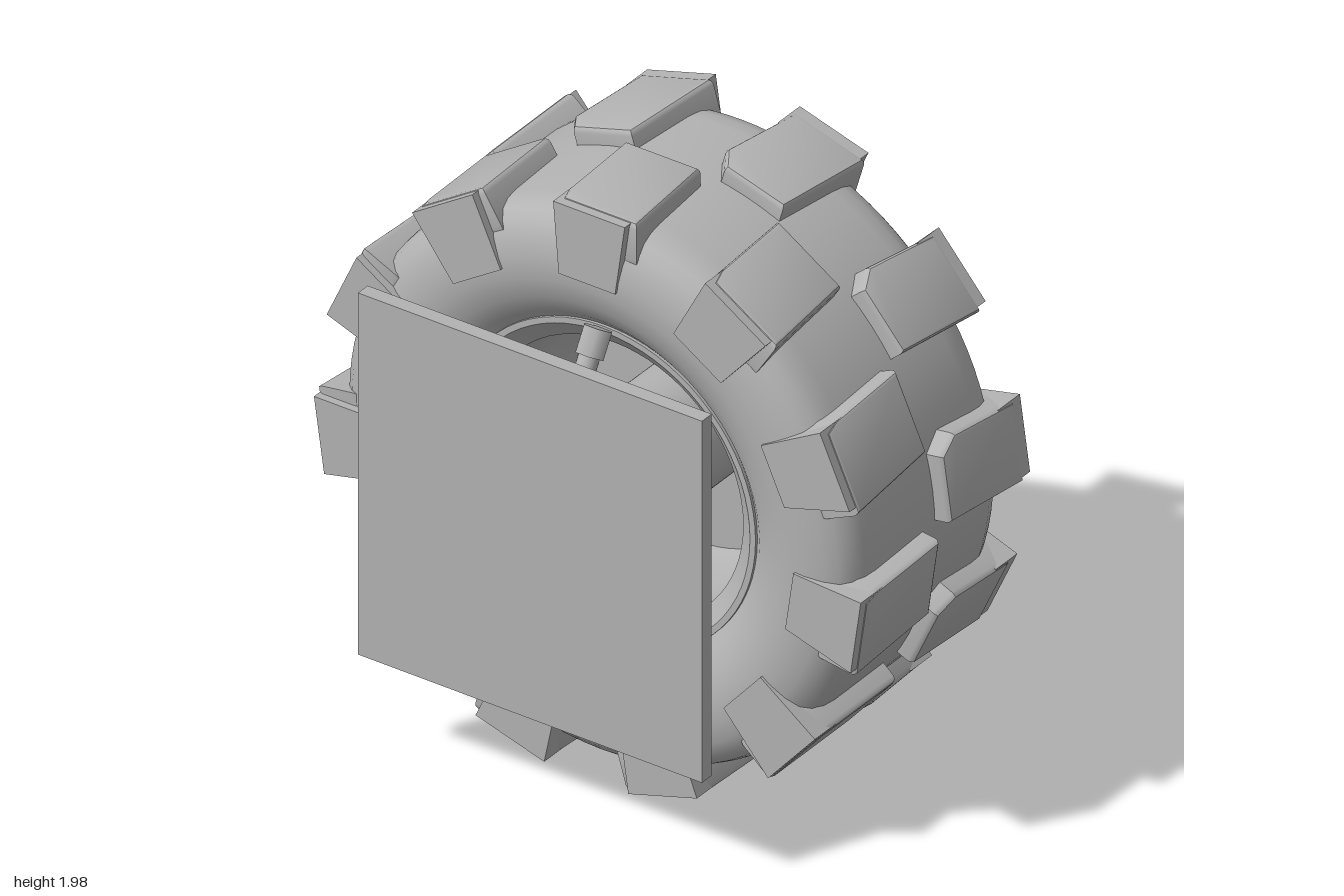
import * as THREE from 'three';
import { toCreasedNormals } from 'three/addons/utils/BufferGeometryUtils.js';

const CY = 0.99;      // axle height
const LUGS = 11;      // lugs per row
const STEP = (Math.PI * 2) / LUGS;

export function createModel() {
  const model = new THREE.Group();
  const grey = new THREE.MeshStandardMaterial({ color: 0xb3b3b3, side: THREE.DoubleSide });
  grey.name = 'plain grey';

  const wheel = new THREE.Group();
  wheel.name = 'wheel';
  wheel.position.y = CY;
  model.add(wheel);

  const add = (name, geo, parent = wheel) => {
    const mesh = new THREE.Mesh(geo, grey);
    mesh.name = name;
    parent.add(mesh);
    return mesh;
  };

  // Turned part about the x axis; profile points are [radius, x]
  const turned = (name, pts, crease = 0.5, seg = 72) => {
    const geo = new THREE.LatheGeometry(pts.map(([r, x]) => new THREE.Vector2(r, x)), seg);
    geo.rotateZ(-Math.PI / 2);
    return add(name, toCreasedNormals(geo, crease));
  };

  // Cylinder or prism along the x axis
  const axial = (name, r, x0, x1, seg = 32, y = 0, z = 0) => {
    const geo = new THREE.CylinderGeometry(r, r, x1 - x0, seg);
    geo.rotateZ(-Math.PI / 2);
    const mesh = add(name, toCreasedNormals(geo, 0.6));
    mesh.position.set((x0 + x1) / 2, y, z);
    return mesh;
  };

  const boltCircle = (name, count, radius, r, x0, x1, offset = 0) => {
    for (let i = 0; i < count; i++) {
      const a = ((i + offset) / count) * Math.PI * 2;
      axial(name, r, x0, x1, 6, Math.cos(a) * radius, Math.sin(a) * radius);
    }
  };

  const polygon = (pts) => new THREE.Shape(pts.map(([x, y]) => new THREE.Vector2(x, y)));

  // Tyre carcass: half profile mirrored about the wheel's middle plane
  const half = [[0.5, 0.3], [0.54, 0.325], [0.58, 0.365], [0.64, 0.4], [0.71, 0.42],
    [0.78, 0.421], [0.84, 0.41], [0.885, 0.39], [0.915, 0.36], [0.93, 0.32], [0.935, 0.27]];
  const mid = 0.145;
  turned('tyre', [
    ...half.map(([r, x]) => [r, mid - x]),
    ...half.slice().reverse().map(([r, x]) => [r, mid + x]),
  ], 0.9, 96);

  // Tread lugs, in two staggered rows, each with a shoulder block on the sidewall
  const rows = [
    { outline: [[0.19, -0.1], [0.53, -0.135], [0.53, 0.105], [0.25, 0.14], [0.19, 0.1]],
      shift: 0, faceX: 0.58 },
    { outline: [[-0.245, -0.145], [0.1, -0.115], [0.1, 0.13], [-0.2, 0.115], [-0.245, 0.1]],
      shift: 0.5, faceX: -0.175 },
  ];
  const shoulder = polygon([[0.74, -0.1], [0.985, -0.135], [0.985, 0.125], [0.74, 0.105]]);
  for (const { outline, shift, faceX } of rows) {
    const lugGeo = toCreasedNormals(new THREE.ExtrudeGeometry(polygon(outline), {
      depth: 0.11, bevelThickness: 0.02, bevelSize: 0.014, bevelSegments: 3,
    }), 0.5);
    lugGeo.translate(0, 0, 0.86);
    const blockGeo = new THREE.ExtrudeGeometry(shoulder, { depth: 0.11, bevelEnabled: false });
    blockGeo.rotateY(-Math.PI / 2);
    blockGeo.translate(faceX, 0, 0);
    for (let i = 0; i < LUGS; i++) {
      const a = -Math.PI / 2 + (i + shift) * STEP;
      add('treadLug', lugGeo).rotation.x = -a;
      add('shoulderBlock', blockGeo).rotation.x = -a;
    }
  }

  // Rim barrel with dished centre
  turned('rim', [
    [0.2, 0.28], [0.44, 0.28], [0.47, 0.2], [0.47, -0.15], [0.53, -0.2], [0.55, -0.2],
    [0.55, -0.17], [0.5, -0.12], [0.5, 0.46], [0.52, 0.485], [0.51, 0.5], [0.44, 0.5],
    [0.44, 0.515], [0.385, 0.515], [0.375, 0.5], [0.315, 0.33], [0.2, 0.33],
  ]);

  // Scalloped bead ring around the rim
  const bead = [];
  for (let i = 0; i < 160; i++) {
    const a = (i / 160) * Math.PI * 2;
    const r = 0.55 + 0.008 * Math.cos(a * 40);
    bead.push([Math.cos(a) * r, Math.sin(a) * r]);
  }
  const beadShape = polygon(bead);
  beadShape.holes.push(new THREE.Path().absarc(0, 0, 0.48, 0, Math.PI * 2, true));
  const beadGeo = new THREE.ExtrudeGeometry(beadShape, { depth: 0.04, bevelEnabled: false, curveSegments: 48 });
  beadGeo.rotateY(Math.PI / 2);
  beadGeo.translate(0.455, 0, 0);
  add('beadRing', beadGeo);

  boltCircle('beadBolt', 16, 0.53, 0.013, 0.48, 0.515, 0.5);
  boltCircle('rimBolt', 16, 0.41, 0.021, 0.5, 0.54);
  boltCircle('discBolt', 8, 0.26, 0.021, 0.32, 0.36, 0.5);

  // Hub with driving blocks and centre nut
  turned('hub', [[0, 0.3], [0.2, 0.3], [0.2, 0.375], [0.185, 0.39], [0, 0.39]]);
  for (let i = 0; i < 8; i++) {
    const block = new THREE.BoxGeometry(0.12, 0.105, 0.075);
    block.translate(0.38, 0.27, 0);
    add('hubBlock', block).rotation.x = (i * Math.PI) / 4;
  }
  axial('hubNut', 0.125, 0.38, 0.45, 6);
  axial('axleTip', 0.055, 0.44, 0.5);

  // Flared axle housing joining the wheel to the plate
  turned('axleHousing', [
    [0, -0.535], [0.405, -0.535], [0.395, -0.52], [0.33, -0.45], [0.275, -0.39], [0.235, -0.345],
    [0.21, -0.31], [0.2, -0.27], [0.2, 0.29], [0, 0.29],
  ], 0.7);

  // Mounting plate and its corner bolts
  const plate = add('mountingPlate', new THREE.BoxGeometry(0.05, 1.26, 1.25));
  plate.position.set(-0.555, 0.005, 0);
  for (const y of [-0.525, 0.53]) {
    for (const z of [-0.53, 0.53]) axial('plateBolt', 0.035, -0.54, -0.5, 6, y, z);
  }

  // Rod from the housing up to the rim, with a flange at its foot
  const up = new THREE.Vector3(0, 1, 0);
  const rod = (name, r, from, to, seg = 24) => {
    const a = new THREE.Vector3(...from), b = new THREE.Vector3(...to);
    const dir = b.clone().sub(a);
    const mesh = add(name, new THREE.CylinderGeometry(r, r, dir.length(), seg));
    mesh.position.copy(a).add(b).multiplyScalar(0.5);
    mesh.quaternion.setFromUnitVectors(up, dir.normalize());
  };
  rod('supplyRod', 0.033, [-0.4, 0.27, 0], [-0.25, 0.53, 0]);
  rod('rodFlange', 0.07, [-0.4, 0.27, 0], [-0.385, 0.296, 0]);
  rod('rodFitting', 0.05, [-0.275, 0.485, 0], [-0.23, 0.56, 0], 6);

  // Hose curving from the flange round to the rim
  const hosePath = new THREE.CatmullRomCurve3([
    [-0.42, 0.3, -0.02], [-0.435, 0.32, -0.1], [-0.425, 0.27, -0.25],
    [-0.39, 0.17, -0.4], [-0.33, 0.1, -0.475], [-0.27, 0.08, -0.49], [-0.15, 0.07, -0.48],
  ].map((p) => new THREE.Vector3(...p)));
  add('hose', new THREE.TubeGeometry(hosePath, 48, 0.018, 12));

  return model;
}
